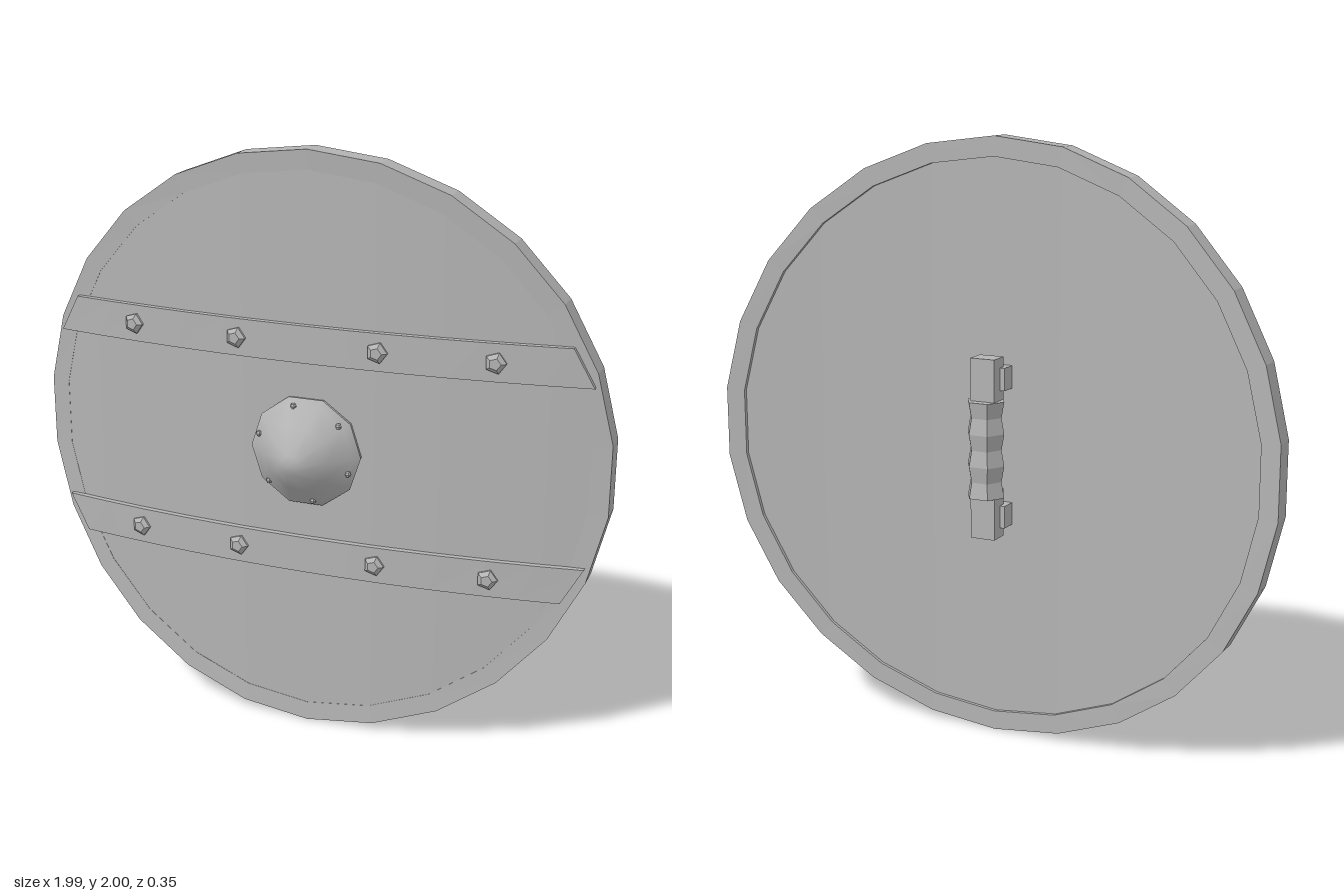
import * as THREE from 'three';
import { toCreasedNormals } from 'three/addons/utils/BufferGeometryUtils.js';

const SIDES = 26;
const CURVE = 0.089; // how far the shield sweeps back towards its sides

// Bend a geometry back along x
function bend(geo) {
  const p = geo.attributes.position;
  for (let i = 0; i < p.count; i++) p.setZ(i, p.getZ(i) - CURVE * p.getX(i) ** 2);
  return geo;
}

// Faceted normals
function flat(geo) {
  const g = geo.index ? geo.toNonIndexed() : geo;
  g.computeVertexNormals();
  return g;
}

// Lathe turned so that its axis points to the front (+z)
function turned(points, sides) {
  const pts = points.map(([r, z]) => new THREE.Vector2(r, z));
  return new THREE.LatheGeometry(pts, sides).rotateX(Math.PI / 2);
}

// Curved board: vertical strips between matching corners of the outline
function boardGeometry(radius, front, back) {
  const pos = [], index = [];
  for (let k = -6; k <= 6; k++) {
    const a = (k * 2 * Math.PI) / SIDES;
    const x = radius * Math.sin(a), h = radius * Math.cos(a);
    pos.push(x, -h, front, x, h, front, x, -h, back, x, h, back);
  }
  for (let k = 0; k < 12; k++) {
    const a = k * 4, b = a + 4;
    index.push(a, b, b + 1, a, b + 1, a + 1);
    index.push(a + 2, b + 3, b + 2, a + 2, a + 3, b + 3);
  }
  const geo = new THREE.BufferGeometry();
  geo.setAttribute('position', new THREE.Float32BufferAttribute(pos, 3));
  geo.setIndex(index);
  return flat(bend(geo));
}

export function createModel() {
  const group = new THREE.Group();
  const grey = new THREE.MeshStandardMaterial({ color: 0xb4b4b4 });
  grey.name = 'grey';

  function add(name, geo, x = 0, y = 0, z = 0) {
    const mesh = new THREE.Mesh(geo, grey);
    mesh.name = name;
    mesh.position.set(x, y, z);
    group.add(mesh);
    return mesh;
  }

  // Board and rim
  add('board', boardGeometry(0.965, 0.015, -0.048), 0, 1, 0);
  const rim = turned([[0.935, -0.06], [1, -0.06], [1, 0.02], [0.935, 0.016], [0.935, -0.06]], SIDES);
  add('rim', flat(bend(rim)), 0, 1, 0);

  // Two straps with slanted ends, each held by four five-sided studs
  const studGeo = flat(turned([[0.036, -0.015], [0.036, 0.008], [0.02, 0.02], [0, 0.02]], 5));
  for (const side of [1, -1]) {
    const geo = new THREE.BoxGeometry(1.86, 0.126, 0.036, 12, 1, 1);
    const p = geo.attributes.position;
    for (let i = 0; i < p.count; i++) {
      if (p.getY(i) > 0) p.setX(i, p.getX(i) * 0.925);
    }
    bend(geo);
    if (side < 0) geo.rotateZ(Math.PI);
    const y = 1.003 + side * 0.369;
    add(side > 0 ? 'upperStrap' : 'lowerStrap', flat(geo), 0, y, 0.017);
    for (const x of [-0.63, -0.245, 0.243, 0.623]) {
      const stud = add('strapStud', studGeo, x, y, 0.034 - CURVE * x * x);
      stud.rotation.y = 2 * CURVE * x;
      stud.rotation.z = Math.PI / 2;
    }
  }

  // Central boss with a blunt tip
  const boss = turned([[0.186, 0.0], [0.193, 0.03], [0.172, 0.048], [0.11, 0.108], [0.034, 0.172], [0, 0.174]], 10);
  boss.rotateZ(Math.PI / 10);
  add('boss', toCreasedNormals(boss, 0.75), 0, 1.005, 0);

  // Small rivets around the boss
  const rivetGeo = flat(new THREE.SphereGeometry(0.011, 6, 4));
  for (let i = 0; i < 6; i++) {
    const a = ((102 + i * 60) * Math.PI) / 180;
    add('bossRivet', rivetGeo, 0.165 * Math.cos(a), 1.005 + 0.165 * Math.sin(a), 0.052);
  }

  // Wavy six-sided grip behind the board
  const grip = [[0, -0.16]];
  for (let i = 0; i <= 6; i++) {
    grip.push([i % 2 ? 0.056 : 0.066, -0.16 + (i * 0.32) / 6]);
  }
  grip.push([0, 0.16]);
  const gripGeo = new THREE.LatheGeometry(grip.map(([r, y]) => new THREE.Vector2(r, y)), 6);
  gripGeo.rotateY(Math.PI / 6);
  add('grip', flat(gripGeo), 0, 1, -0.12);

  // Square grip ends and the brackets that hold them to the board
  for (const side of [1, -1]) {
    add('gripEnd', new THREE.BoxGeometry(0.086, 0.16, 0.07), 0, 1 + side * 0.22, -0.112);
    add('gripBracket', new THREE.BoxGeometry(0.12, 0.075, 0.06), 0, 1 + side * 0.23, -0.075);
  }

  return group;
}
